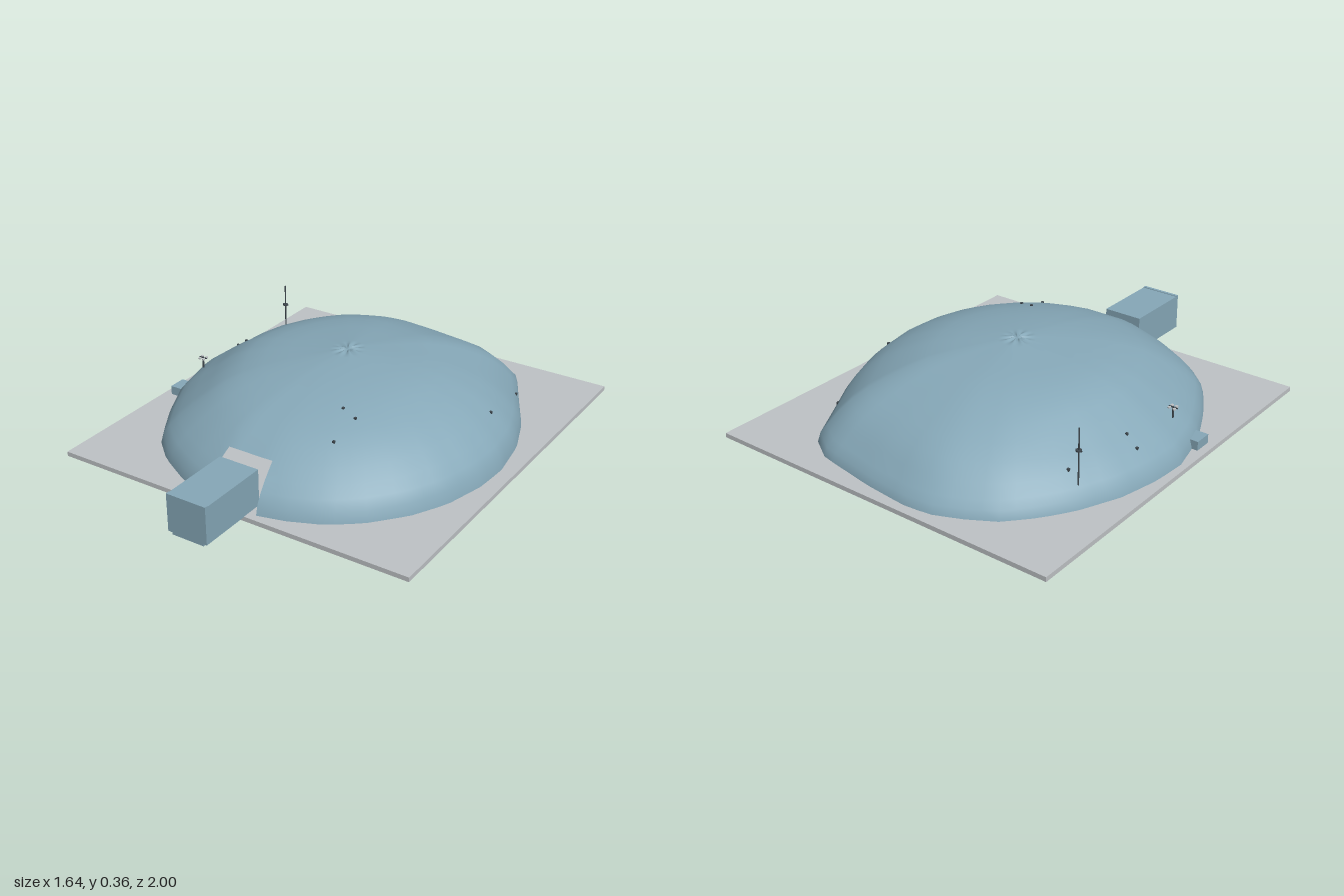
import * as THREE from 'three';

const mat = (name, color, extra = {}) => {
  const m = new THREE.MeshStandardMaterial({ color, ...extra });
  m.name = name;
  return m;
};
const SHELL = mat('blue shell', 0x86a8b8, { side: THREE.DoubleSide });
const SLAB = mat('pale concrete', 0xbfc3c6);
const DARK = mat('dark metal', 0x3f484e);

// Dome footprint seen from above (x, z), starting at the doorway and going round
const FOOTPRINT = [
  [0.12, 0.74], [0.24, 0.71], [0.38, 0.65], [0.5, 0.56], [0.62, 0.42], [0.7, 0.27], [0.75, 0.08],
  [0.76, -0.08], [0.73, -0.28], [0.66, -0.47], [0.55, -0.67], [0.47, -0.82], [0.36, -0.89],
  [0.08, -0.94], [-0.12, -0.96], [-0.24, -0.95], [-0.36, -0.9], [-0.48, -0.83], [-0.58, -0.72],
  [-0.66, -0.6], [-0.74, -0.42], [-0.78, -0.24], [-0.79, -0.08], [-0.74, 0.13], [-0.65, 0.32],
  [-0.55, 0.49], [-0.44, 0.59], [-0.28, 0.68], [-0.13, 0.74],
];
// Height at each fraction of the radius, for the four main directions
const T = [0, 0.1, 0.2, 0.32, 0.45, 0.56, 0.66, 0.75, 0.83, 0.9, 0.95, 0.985, 1];
const PROFILE = {
  right: [0.357, 0.355, 0.349, 0.339, 0.325, 0.302, 0.272, 0.24, 0.2, 0.155, 0.115, 0.075, 0.02],
  front: [0.357, 0.354, 0.347, 0.335, 0.315, 0.291, 0.265, 0.23, 0.185, 0.14, 0.1, 0.06, 0.02],
  left: [0.357, 0.35, 0.341, 0.331, 0.318, 0.296, 0.262, 0.21, 0.17, 0.13, 0.095, 0.065, 0.02],
  back: [0.357, 0.354, 0.345, 0.334, 0.317, 0.288, 0.255, 0.22, 0.18, 0.13, 0.08, 0.055, 0.02],
};
const POLE_Z = -0.11;

// Distance from the pole to the footprint along angle a (0 = front, growing towards +x)
function rimRadius(a) {
  const dx = Math.sin(a), dz = Math.cos(a);
  for (let i = 0; i < FOOTPRINT.length; i++) {
    const [x1, z1] = FOOTPRINT[i], [x2, z2] = FOOTPRINT[(i + 1) % FOOTPRINT.length];
    const ex = x2 - x1, ez = z2 - z1, pz = z1 - POLE_Z;
    const den = dx * ez - dz * ex;
    const r = (x1 * ez - pz * ex) / den;
    const s = (x1 * dz - pz * dx) / den;
    if (r > 0 && s >= -1e-6 && s <= 1 + 1e-6) return r;
  }
  return 0.8;
}

function sample(list, t) {
  let k = 0;
  while (k < T.length - 2 && T[k + 1] < t) k++;
  return THREE.MathUtils.lerp(list[k], list[k + 1], Math.min(1, (t - T[k]) / (T[k + 1] - T[k])));
}

function domeHeight(a, t) {
  const s = Math.sin(a), c = Math.cos(a);
  const side = sample(s > 0 ? PROFILE.right : PROFILE.left, t);
  const end = sample(c > 0 ? PROFILE.front : PROFILE.back, t);
  return side * s * s + end * c * c;
}

function surfaceY(x, z) {
  const a = Math.atan2(x, z - POLE_Z);
  return domeHeight(a, Math.min(1, Math.hypot(x, z - POLE_Z) / rimRadius(a)));
}

// Loose fabric-like dome with a puckered top and a doorway gap at the front
function domeGeometry() {
  const segs = 86, doorHalf = 2, doorT = 0.83;
  const rings = [0.025, 0.05, 0.075, ...T.slice(1)];
  const pos = [0, 0.35, POLE_Z], idx = [];
  for (const t of rings) {
    for (let i = 0; i < segs; i++) {
      const a = (i / segs) * Math.PI * 2, r = t * rimRadius(a);
      const pucker = t < 0.1 ? 0.006 * Math.cos(a * 9) * (1 - t / 0.1) : 0;
      pos.push(r * Math.sin(a), domeHeight(a, t) + pucker, POLE_Z + r * Math.cos(a));
    }
  }
  const at = (j, i) => 1 + j * segs + (i % segs);
  for (let i = 0; i < segs; i++) {
    idx.push(0, at(0, i), at(0, i + 1));
    for (let j = 0; j < rings.length - 1; j++) {
      const inDoor = i < doorHalf || i >= segs - doorHalf;
      if (inDoor && rings[j] >= doorT) continue;
      idx.push(at(j, i), at(j + 1, i), at(j + 1, i + 1), at(j, i), at(j + 1, i + 1), at(j, i + 1));
    }
  }
  const g = new THREE.BufferGeometry();
  g.setAttribute('position', new THREE.Float32BufferAttribute(pos, 3));
  g.setIndex(idx);
  g.computeVertexNormals();
  return g;
}

export function createModel() {
  const model = new THREE.Group();
  const add = (name, geometry, material, x = 0, y = 0, z = 0) => {
    const m = new THREE.Mesh(geometry, material);
    m.name = name;
    m.position.set(x, y, z);
    model.add(m);
    return m;
  };
  // Box given by its minimum and maximum corners
  const box = (name, material, x1, x2, y1, y2, z1, z2) =>
    add(name, new THREE.BoxGeometry(x2 - x1, y2 - y1, z2 - z1), material,
      (x1 + x2) / 2, (y1 + y2) / 2, (z1 + z2) / 2);

  box('groundSlab', SLAB, -0.82, 0.82, 0, 0.02, -1, 0.77);
  add('dome', domeGeometry(), SHELL);

  // Entrance block in front of the doorway
  box('entranceBlock', SHELL, -0.093, 0.09, 0.018, 0.18, 0.67, 0.985);
  box('entranceFront', SHELL, -0.093, 0.09, 0.018, 0.183, 0.985, 1);
  box('entranceSill', SHELL, -0.075, 0.072, 0.006, 0.018, 0.772, 0.997);

  // Stacked blocks just inside the doorway
  for (const s of [-1, 1]) {
    for (let k = 0; k < 3; k++) {
      const x = s * (0.112 - 0.004 * k), y = 0.02 + k * 0.019;
      box('doorwayBlock', SLAB, x - 0.013, x + 0.013, y, y + 0.016, 0.56, 0.59);
    }
  }

  // Small hatch low on the right flank
  box('sideHatch', SHELL, -0.785, -0.68, 0.02, 0.06, 0.05, 0.13);

  // Mast with a collar and crossbar
  const mastY = surfaceY(-0.63, -0.55) - 0.01;
  add('mast', new THREE.CylinderGeometry(0.003, 0.003, 0.34 - mastY, 8), DARK, -0.63, (0.34 + mastY) / 2, -0.55);
  add('mastCollar', new THREE.CylinderGeometry(0.012, 0.012, 0.006, 16), DARK, -0.63, 0.245, -0.55);
  box('mastCrossbar', DARK, -0.645, -0.615, 0.243, 0.247, -0.552, -0.548);

  // Little instrument station on the right shoulder
  add('stationPost', new THREE.CylinderGeometry(0.004, 0.004, 0.05, 8), DARK, -0.675, 0.168, 0.03);
  box('stationArm', DARK, -0.695, -0.655, 0.188, 0.192, 0.028, 0.032);
  for (const [dx, dz] of [[-0.012, -0.012], [0.012, -0.01], [-0.008, 0.012], [0.012, 0.012]]) {
    add('stationCup', new THREE.CylinderGeometry(0.007, 0.007, 0.006, 10), SLAB, -0.675 + dx, 0.19, 0.03 + dz);
  }

  // Tiny fittings scattered over the dome
  const fittings = [[0.56, -0.61], [0.63, -0.22], [0.22, 0.27], [0.29, 0.29], [0.28, 0.43],
    [-0.69, -0.25], [-0.635, -0.24], [-0.58, -0.545]];
  for (const [x, z] of fittings) {
    add('fitting', new THREE.BoxGeometry(0.01, 0.012, 0.01), DARK, x, surfaceY(x, z), z);
  }
  return model;
}
